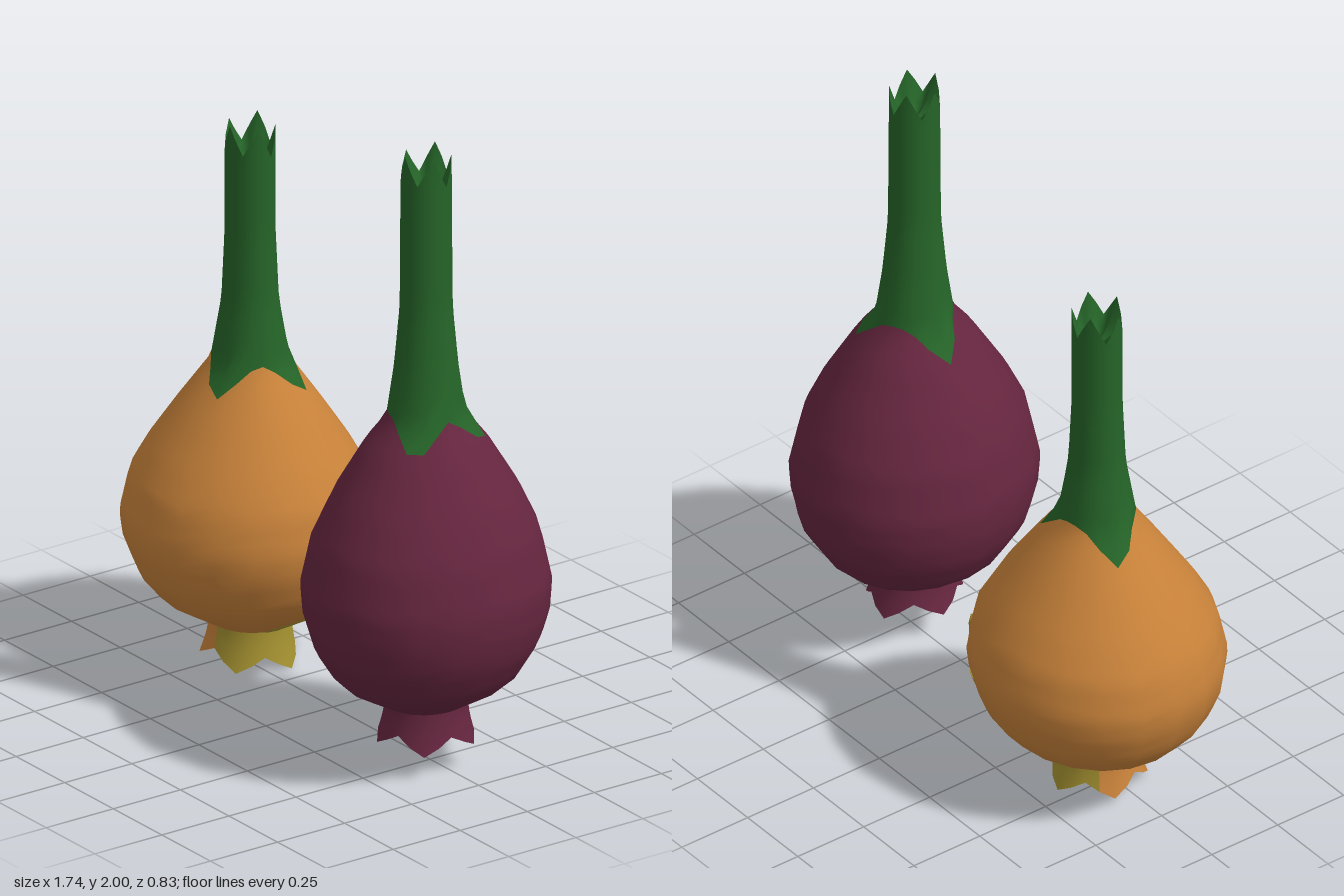
import * as THREE from 'three';
import { mergeVertices } from 'three/addons/utils/BufferGeometryUtils.js';

const SIDES = 20;
const STEP = (Math.PI * 2) / SIDES;
const DEG = Math.PI / 180;

const material = (name, color) => {
  const m = new THREE.MeshStandardMaterial({ color, side: THREE.DoubleSide });
  m.name = name;
  return m;
};

// Radius at a height, from a profile of [y, r] points
function radiusAt(profile, y) {
  if (y <= profile[0][0]) return profile[0][1];
  for (let i = 1; i < profile.length; i++) {
    const [y0, r0] = profile[i - 1], [y1, r1] = profile[i];
    if (y <= y1) return r0 + ((r1 - r0) * (y - y0)) / (y1 - y0);
  }
  return profile[profile.length - 1][1];
}

// Surface around the y axis between two columns; at(angle, t, column) gives [radius, y]
function ring(name, mat, rows, at, from = 0, to = SIDES) {
  const pos = [], index = [], w = rows + 1;
  for (let i = from; i <= to; i++) {
    for (let j = 0; j <= rows; j++) {
      const [r, y] = at(i * STEP, j / rows, i);
      pos.push(r * Math.cos(i * STEP), y, r * Math.sin(i * STEP));
    }
  }
  for (let i = 0; i < to - from; i++) {
    for (let j = 0; j < rows; j++) {
      const a = i * w + j, b = a + w;
      index.push(a, a + 1, b, b, a + 1, b + 1);
    }
  }
  let g = new THREE.BufferGeometry();
  g.setAttribute('position', new THREE.Float32BufferAttribute(pos, 3));
  g.setIndex(index);
  g = mergeVertices(g, 1e-5);
  g.computeVertexNormals();
  const mesh = new THREE.Mesh(g, mat);
  mesh.name = name;
  return mesh;
}

// 1 at a tooth point, 0 in a notch
const tooth = (a, phase) => {
  const u = (((a - phase) * 5) / (Math.PI * 2)) % 1;
  return Math.abs(((u + 1) % 1) - 0.5) * 2;
};

function onion(o) {
  const group = new THREE.Group();
  group.name = o.name;

  // Skin edge dips to a point at each leaf angle
  const collar = (a) => {
    let d = 60;
    for (const p of o.leaves) {
      const k = Math.abs(((a / DEG - p + 540) % 360) - 180);
      d = Math.min(d, k);
    }
    return o.collar[0] + (o.collar[1] - o.collar[0]) * Math.sin((d / 60) * Math.PI / 2);
  };
  const base = o.profile[0][0];
  const baseR = o.profile[0][1];
  const tip = (a) => o.tip - 0.09 + 0.09 * tooth(a, o.phase) - 0.015 * (1 + Math.cos(a * 2 + 1)) * 0.5;

  // Bulb
  group.add(ring('bulb', o.skin, 26, (a, t) => {
    const y = base + (collar(a) - base) * t;
    return [radiusAt(o.profile, y), y];
  }));

  // Green shoot with ragged top and hollow end
  group.add(ring('shoot', o.green, 16, (a, t) => {
    const y = collar(a) + (tip(a) - collar(a)) * t;
    return [radiusAt(o.profile, y), y];
  }));
  group.add(ring('shootHollow', o.green, 3, (a, t) => [
    radiusAt(o.profile, o.tip) * (1 - t),
    tip(a) + (o.tip - 0.15 - tip(a)) * Math.sqrt(t),
  ]));

  // Flared root collar with ragged lower edge
  const hem = (a) => base - 0.06 - 0.05 * tooth(a, o.rootPhase) - 0.01 * (1 + Math.cos(a));
  const flare = (a) => baseR * (1.08 + 0.14 * tooth(a, o.rootPhase));
  const rootSide = (a, t) => [
    flare(a) + (baseR - flare(a)) * Math.sin(t * Math.PI / 2),
    hem(a) + (base + 0.01 - hem(a)) * t,
  ];
  for (const [mat, from, to] of o.roots) group.add(ring('rootCollar', mat, 5, rootSide, from, to));
  group.add(ring('rootUnderside', o.roots[0][0], 4, (a, t) => [
    flare(a) * t,
    base - 0.045 + (hem(a) - base + 0.045) * t * t,
  ]));

  // Bare patch low on the skin, one height per column
  if (o.patch) {
    const { mat, from, tops } = o.patch;
    group.add(ring('skinPatch', mat, 12, (a, t, i) => {
      const y = base + (tops[i - from] - base) * t;
      return [radiusAt(o.profile, y) + 0.006, y];
    }, from, from + tops.length - 1));
  }

  group.scale.z = o.depth;
  group.position.set(o.x, 0, o.z);
  return group;
}

export function createModel() {
  const orange = material('orangeSkin', 0xc8823a);
  const purple = material('purpleSkin', 0x66263f);
  const green = material('leafGreen', 0x256428);
  const yellow = material('yellowFlesh', 0xa39030);

  const model = new THREE.Group();
  model.name = 'onions';
  model.add(
    onion({
      name: 'orangeOnion', x: -0.465, z: -0.028, depth: 0.945,
      skin: orange, green,
      profile: [[0.13, 0.13], [0.22, 0.29], [0.3, 0.36], [0.4, 0.4], [0.48, 0.41], [0.6, 0.383], [0.7, 0.325],
        [0.83, 0.235], [0.98, 0.125], [1.18, 0.09], [1.4, 0.08], [1.75, 0.08]],
      leaves: [76, 195, 327], collar: [0.89, 1.0],
      tip: 1.76, phase: 90 * DEG, rootPhase: 54 * DEG,
      roots: [[yellow, -8, 5], [orange, 5, 12]],
      patch: { mat: yellow, from: -5, tops: [0.14, 0.25, 0.38, 0.51, 0.44, 0.27, 0.14] },
    }),
    onion({
      name: 'purpleOnion', x: 0.51, z: 0.022, depth: 1.08,
      skin: purple, green,
      profile: [[0.205, 0.12], [0.29, 0.26], [0.41, 0.33], [0.5, 0.355], [0.6, 0.362], [0.757, 0.33], [0.89, 0.272],
        [1.05, 0.182], [1.14, 0.115], [1.31, 0.092], [1.5, 0.076], [2, 0.073]],
      leaves: [45, 180, 312], collar: [1.05, 1.16],
      tip: 2.005, phase: 90 * DEG, rootPhase: 36 * DEG,
      roots: [[purple, 0, SIDES]],
    }),
  );
  return model;
}
